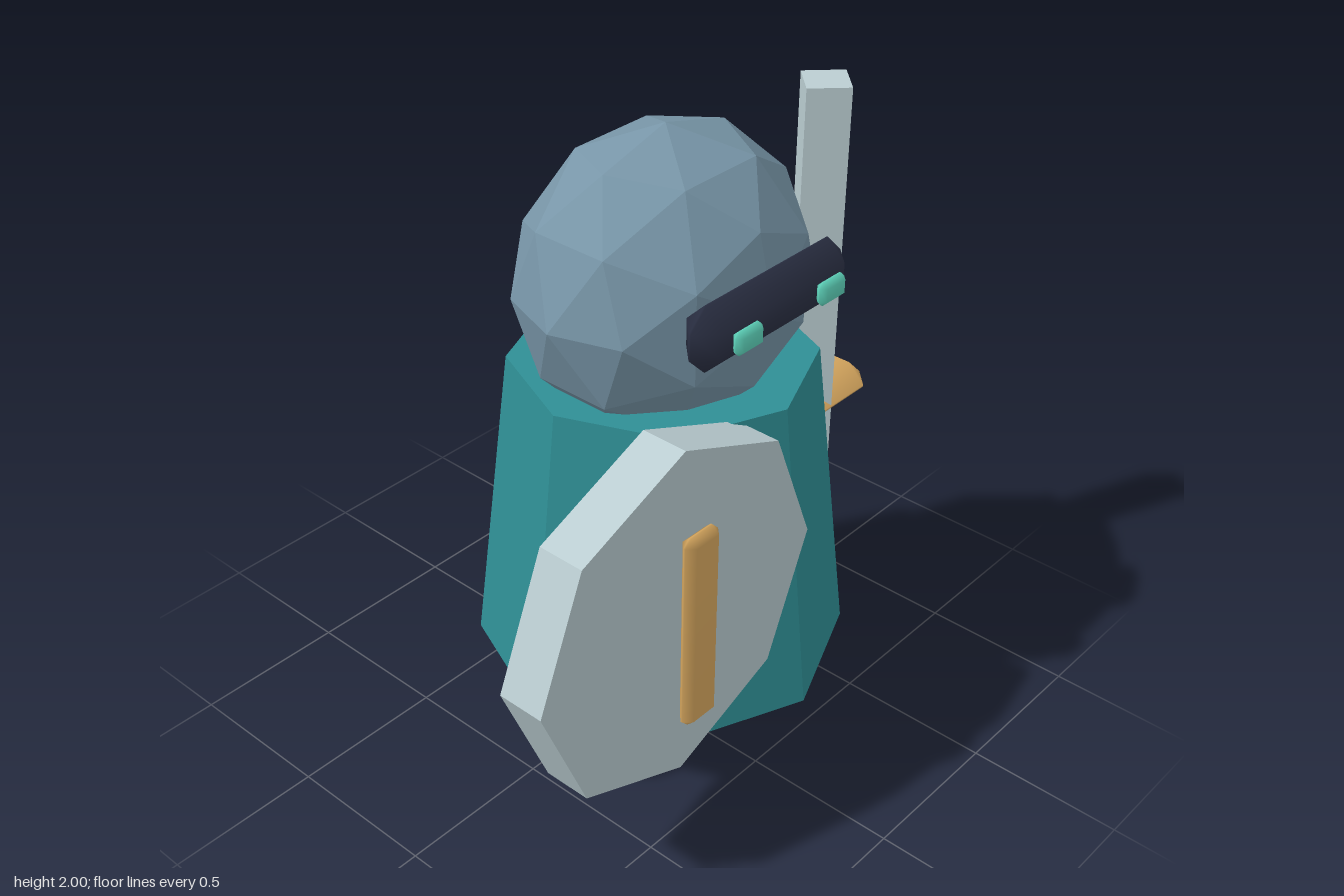
import * as THREE from 'three';
import { mergeVertices } from 'three/addons/utils/BufferGeometryUtils.js';
import { ConvexGeometry } from 'three/addons/geometries/ConvexGeometry.js';

const material = (name, color) => {
  const m = new THREE.MeshStandardMaterial({ color });
  m.name = name;
  return m;
};

// Facet a geometry: every face gets its own normal
function faceted(geometry) {
  const g = geometry.index ? geometry.toNonIndexed() : geometry;
  g.computeVertexNormals();
  return g;
}

// Box with all edges cut at 45 degrees and softly blended normals
function chamferBox(w, h, d, c) {
  const half = [w / 2, h / 2, d / 2];
  const points = [];
  for (const sx of [-1, 1]) for (const sy of [-1, 1]) for (const sz of [-1, 1]) {
    for (let axis = 0; axis < 3; axis++) {
      const p = half.map((s, i) => (i === axis ? s : s - c));
      points.push(new THREE.Vector3(sx * p[0], sy * p[1], sz * p[2]));
    }
  }
  const g = new ConvexGeometry(points);
  g.deleteAttribute('normal');
  const merged = mergeVertices(g, 1e-4);
  merged.computeVertexNormals();
  return merged;
}

export function createModel() {
  const model = new THREE.Group();
  model.name = 'robedGuard';

  const teal = material('teal cloth', 0x2f8f95);
  const steel = material('blue grey helmet', 0x7896a8);
  const pale = material('pale metal', 0xbbced2);
  const gold = material('gold', 0xd9a960);
  const navy = material('dark navy', 0x2b3044);
  const mint = material('mint glow', 0x5fd6bd);

  const add = (name, geometry, mat, x, y, z) => {
    const mesh = new THREE.Mesh(geometry, mat);
    mesh.name = name;
    mesh.position.set(x, y, z);
    model.add(mesh);
  };

  const cx = 0.12; // body axis
  const cz = -0.01;

  // Eight-sided robe
  add('robe', faceted(new THREE.CylinderGeometry(0.472, 0.595, 1.03, 8)), teal, cx, 0.742, cz);

  // Faceted head
  const head = faceted(new THREE.IcosahedronGeometry(1, 1).scale(0.488, 0.47, 0.41));
  add('head', head, steel, cx, 1.53, cz);

  // Visor, eyes and feet, mirrored about the body axis
  add('visor', chamferBox(0.66, 0.208, 0.13, 0.062), navy, cx, 1.57, 0.372);
  for (const [side, s] of [['left', 1], ['right', -1]]) {
    add(side + 'Eye', chamferBox(0.112, 0.075, 0.038, 0.016), mint, cx + s * 0.184, 1.57, 0.455);
    add(side + 'Foot', chamferBox(0.433, 0.34, 0.555, 0.066), navy, cx + s * 0.272, 0.17, 0.02);
  }

  // Octagonal shield with its gold bar
  const shield = faceted(new THREE.CylinderGeometry(0.564, 0.564, 0.15, 8).rotateX(Math.PI / 2));
  add('shield', shield, pale, -0.4, 0.84, 0.452);
  add('shieldBar', chamferBox(0.135, 0.66, 0.052, 0.023), gold, -0.398, 0.84, 0.583);

  // Diamond-section sword and its guard
  add('swordBlade', faceted(new THREE.CylinderGeometry(0.097, 0.097, 1.605, 4)), pale, 0.72, 1.168, 0.095);
  add('swordGuard', chamferBox(0.472, 0.132, 0.195, 0.063), gold, 0.72, 0.864, 0.096);

  return model;
}
